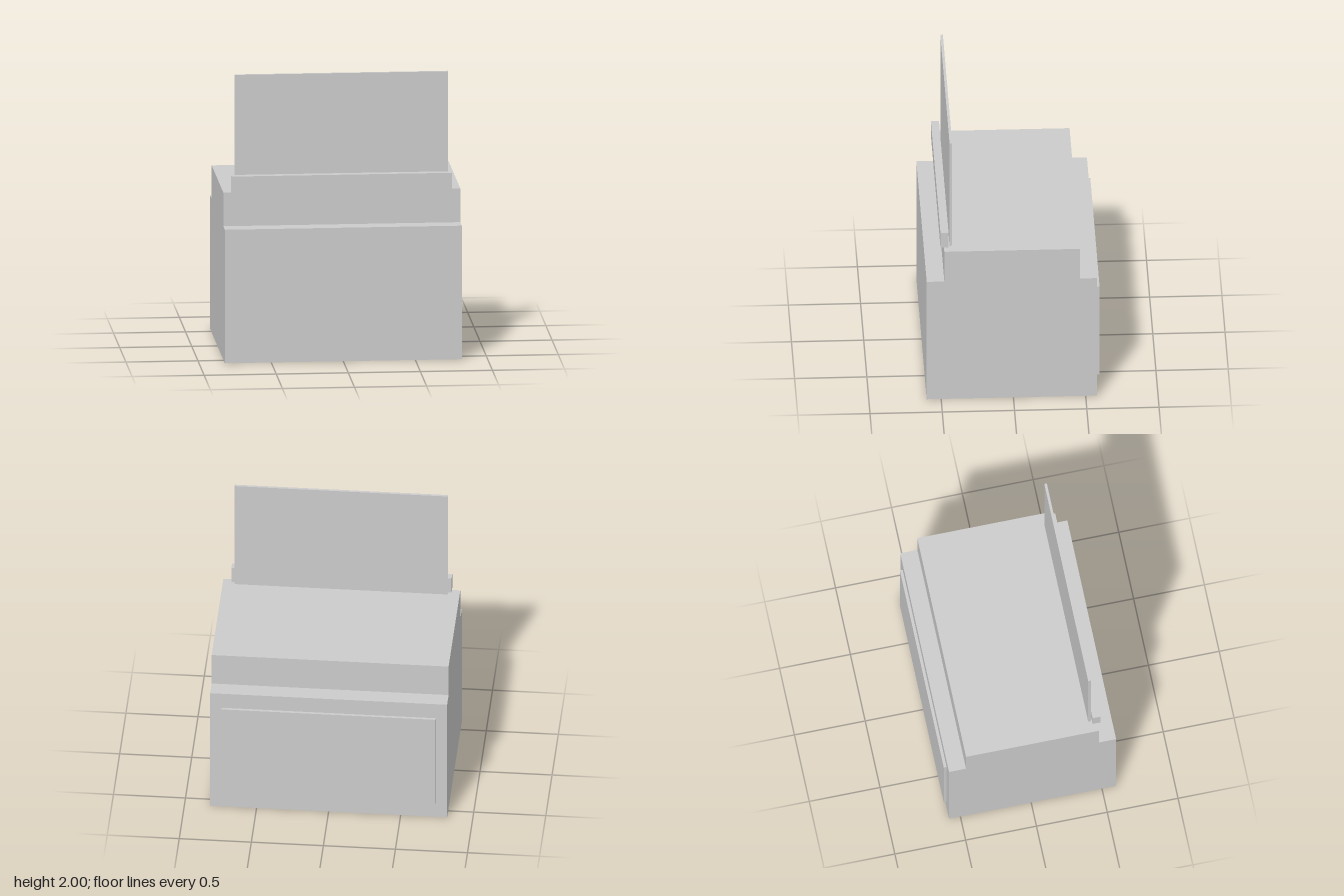
import * as THREE from 'three';

const material = new THREE.MeshStandardMaterial({ color: 0xcccccc, flatShading: true });

// Box given by half width and its y and z ranges, centred on x = 0
function panel(name, halfWidth, [y0, y1], [z0, z1]) {
  const mesh = new THREE.Mesh(new THREE.BoxGeometry(2 * halfWidth, y1 - y0, z1 - z0), material);
  mesh.position.set(0, (y0 + y1) / 2, (z0 + z1) / 2);
  mesh.name = name;
  return mesh;
}

// Counter body: stepped side profile (z, y) swept across the width
function counterBody() {
  const width = 1.644;
  const profile = [
    [0.6, 0], [-0.58, 0], [-0.58, 0.942], [-0.46, 0.942],
    [-0.46, 1.18], [0.478, 1.18], [0.478, 0.942], [0.6, 0.942],
  ];
  const shape = new THREE.Shape(profile.map(([z, y]) => new THREE.Vector2(-z, y)));
  const geometry = new THREE.ExtrudeGeometry(shape, { depth: width, bevelEnabled: false });
  geometry.translate(0, 0, -width / 2).rotateY(Math.PI / 2);
  const mesh = new THREE.Mesh(geometry, material);
  mesh.name = 'counterBody';
  return mesh;
}

export function createModel() {
  const model = new THREE.Group();
  model.name = 'counter';
  model.add(
    counterBody(),
    panel('backPanel', 0.741, [0.12, 0.825], [-0.6, -0.58]),
    // Upright screen and the rail in front of its foot
    panel('screen', 0.741, [1.18, 2], [0.42, 0.438]),
    panel('frontRail', 0.764, [1.18, 1.296], [0.446, 0.502]),
  );
  return model;
}
